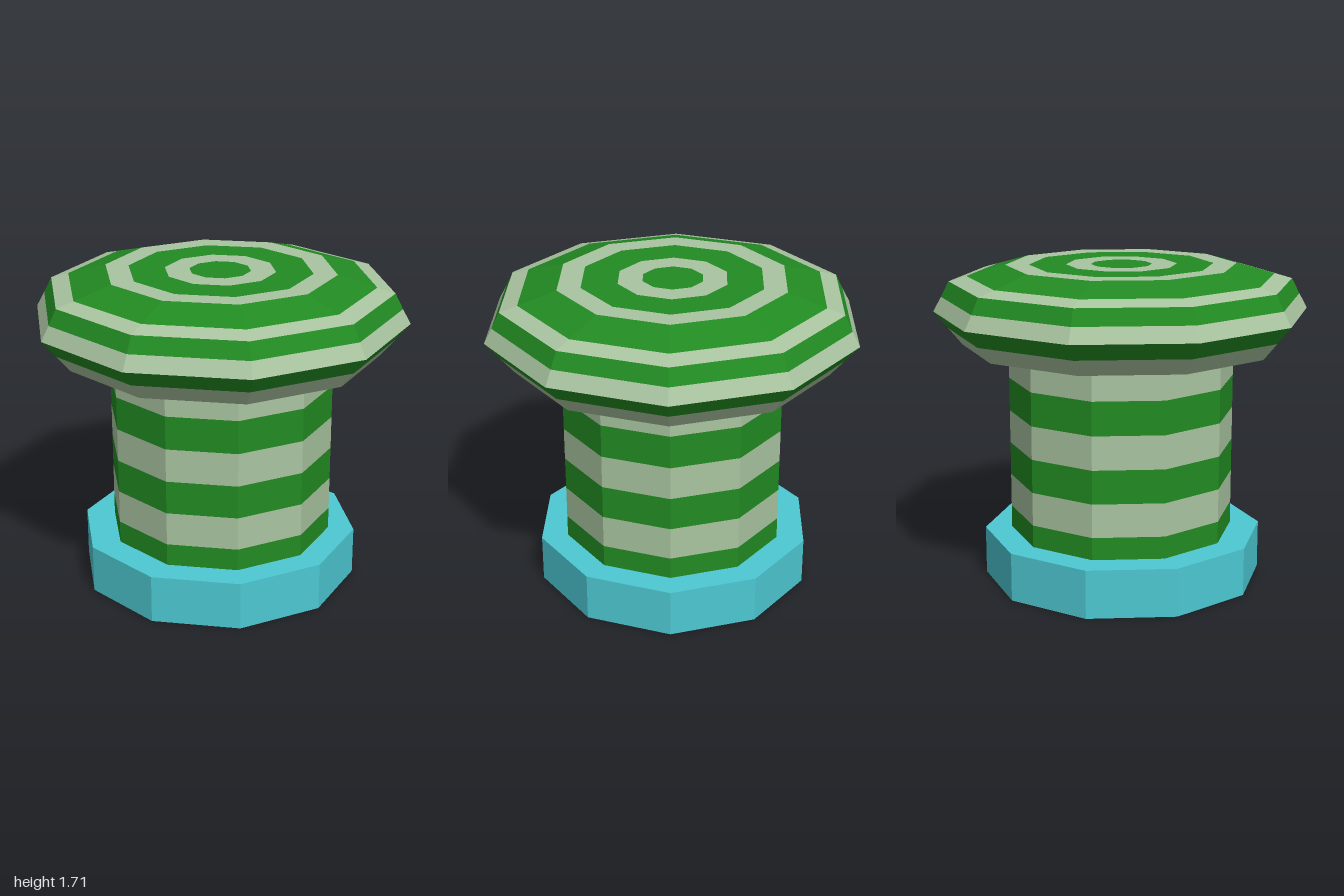
import * as THREE from 'three';

const SIDES = 10;
const green = new THREE.MeshStandardMaterial({ color: 0x228b22, flatShading: true });
const pale = new THREE.MeshStandardMaterial({ color: 0xa9c4a0, flatShading: true });
const blue = new THREE.MeshStandardMaterial({ color: 0x4dc8d2, flatShading: true });

// Ten-sided ring swept from a [radius, height] profile running bottom to top
function ring(profile, material, name) {
  const points = profile.map(([r, y]) => new THREE.Vector2(r, y));
  const geometry = new THREE.LatheGeometry(points, SIDES).toNonIndexed();
  geometry.computeVertexNormals();
  const mesh = new THREE.Mesh(geometry, material);
  mesh.name = name;
  return mesh;
}

// Stack of rings that alternate between two colours
function stripes(profile, colours, name) {
  const group = new THREE.Group();
  group.name = name;
  for (let i = 0; i < profile.length - 1; i++) {
    group.add(ring([profile[i], profile[i + 1]], colours[i % 2], `${name}Stripe${i + 1}`));
  }
  return group;
}

export function createModel() {
  const model = new THREE.Group();
  model.name = 'stripedPost';

  // Plain foot, set slightly to one side
  const base = new THREE.Mesh(new THREE.CylinderGeometry(0.757, 0.757, 0.26, SIDES), blue);
  base.name = 'base';
  base.position.set(-0.01, 0.13, 0);
  model.add(base);

  // Striped column
  const columnHeights = [0.2, 0.38, 0.56, 0.74, 0.92, 1.1, 1.285];
  model.add(stripes(columnHeights.map((y) => [0.606, y]), [green, pale], 'column'));

  // Faceted cap: underside, flaring rim, bevel, then concentric rings on the flat top
  const capProfile = [
    [0, 1.285], [0.85, 1.285], [0.925, 1.375], [1, 1.465], [0.957, 1.543], [0.915, 1.625],
    [0.82, 1.652], [0.615, 1.71], [0.49, 1.71], [0.295, 1.71], [0.163, 1.71], [0, 1.71],
  ];
  const cap = new THREE.Group();
  cap.name = 'cap';
  cap.add(ring(capProfile.slice(0, 3), pale, 'capUnderside'));
  cap.add(stripes(capProfile.slice(2), [green, pale], 'cap'));
  model.add(cap);

  return model;
}
